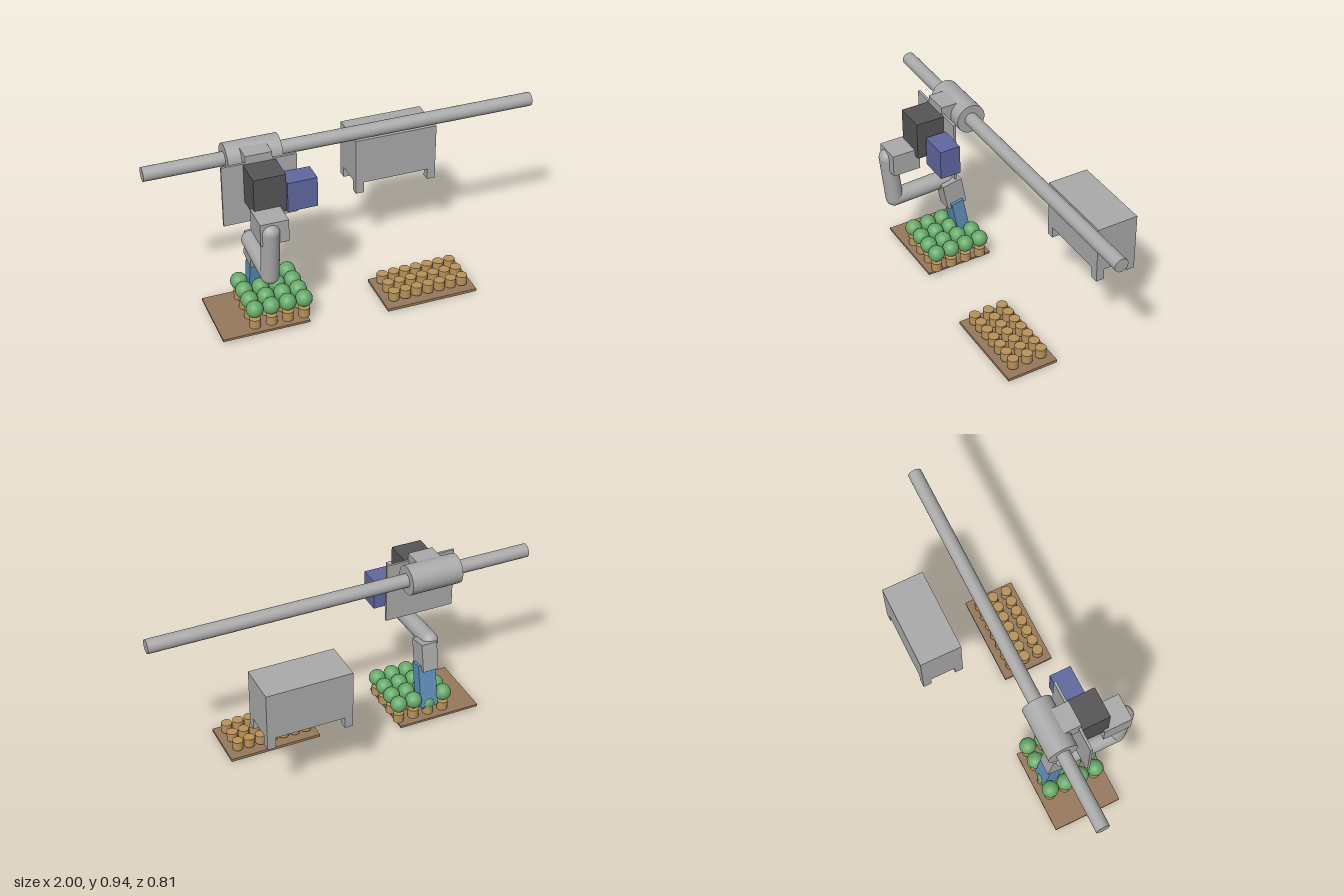
import * as THREE from 'three';

export function createModel() {
  const model = new THREE.Group();
  const mat = (name, color) => {
    const m = new THREE.MeshStandardMaterial({ color });
    m.name = name;
    return m;
  };
  const metal = mat('grey metal', 0xaaaaaa);
  const dark = mat('dark grey', 0x555555);
  const indigo = mat('indigo', 0x6068a0);
  const blue = mat('blue', 0x5f90ba);
  const green = mat('leaf green', 0x66aa6a);
  const clay = mat('clay', 0xb8935a);
  const brown = mat('brown', 0x96795c);

  const add = (name, geometry, material, x, y, z, parent = model) => {
    const mesh = new THREE.Mesh(geometry, material);
    mesh.name = name;
    mesh.position.set(x, y, z);
    parent.add(mesh);
    return mesh;
  };
  // Box given by its limits along each axis
  const box = (name, material, [x0, x1], [y0, y1], [z0, z1], parent) =>
    add(name, new THREE.BoxGeometry(x1 - x0, y1 - y0, z1 - z0), material,
      (x0 + x1) / 2, (y0 + y1) / 2, (z0 + z1) / 2, parent);
  const group = (name) => {
    const g = new THREE.Group();
    g.name = name;
    model.add(g);
    return g;
  };

  // Overhead rail and sliding carriage
  add('rail', new THREE.CylinderGeometry(0.035, 0.035, 2, 32), metal, 0, 0.864, -0.021).rotation.z = Math.PI / 2;
  add('carriage', new THREE.CylinderGeometry(0.076, 0.076, 0.272, 40), metal, -0.469, 0.864, -0.021).rotation.z = Math.PI / 2;
  box('carriageBracket', metal, [-0.537, -0.404], [0.845, 0.93], [-0.01, 0.105]);
  box('backPlate', metal, [-0.655, -0.283], [0.57, 0.893], [0.092, 0.105]);
  box('controlBox', dark, [-0.548, -0.388], [0.687, 0.887], [0.105, 0.253]);
  box('sensorBox', indigo, [-0.37, -0.22], [0.653, 0.81], [0.106, 0.215]);

  // Bent arm: capsules between the joints
  const arm = group('arm');
  box('shoulder', metal, [-0.56, -0.42], [0.604, 0.72], [0.227, 0.375], arm);
  const up = new THREE.Vector3(0, 1, 0);
  const joints = [[0.665, 0.363], [0.408, 0.338], [0.42, 0.043]]
    .map(([y, z]) => new THREE.Vector3(-0.508, y, z));
  ['upperArm', 'forearm'].forEach((name, i) => {
    const a = joints[i], b = joints[i + 1];
    const mid = a.clone().add(b).multiplyScalar(0.5);
    const limb = add(name, new THREE.CapsuleGeometry(0.045, a.distanceTo(b), 10, 28), metal, mid.x, mid.y, mid.z, arm);
    limb.quaternion.setFromUnitVectors(up, b.clone().sub(a).normalize());
  });

  // Tilted wrist and picking tool
  add('wrist', new THREE.BoxGeometry(0.085, 0.153, 0.109), metal, -0.478, 0.355, 0.0255, arm).rotation.x = 0.18;
  add('tool', new THREE.BoxGeometry(0.096, 0.242, 0.068), blue, -0.468, 0.189, -0.004, arm).rotation.x = 0.19;

  // Standing cabinet with four short legs
  const cabinet = group('cabinet');
  box('cabinetBody', metal, [0.133, 0.572], [0.455, 0.705], [-0.407, -0.19], cabinet);
  for (const x of [0.133, 0.529]) {
    for (const z of [-0.407, -0.233]) {
      box('cabinetLeg', metal, [x, x + 0.043], [0.396, 0.455], [z, z + 0.043], cabinet);
    }
  }

  // Trays with rows of pots
  const potGeometry = new THREE.CylinderGeometry(0.028, 0.028, 0.049, 24);
  const plantGeometry = new THREE.SphereGeometry(0.0435, 24, 16);

  const plantTray = group('plantTray');
  box('tray', brown, [-0.733, -0.286], [0.017, 0.029], [-0.096, 0.267], plantTray);
  for (let i = 0; i < 4; i++) {
    for (let j = 0; j < 4; j++) {
      const x = -0.553 + i * 0.0847, z = -0.04 + j * 0.0847;
      add('pot', potGeometry, clay, x, 0.053, z, plantTray);
      // The plant under the tool is held lower, at its tip
      const held = i === 1 && j === 0;
      add(held ? 'heldPlant' : 'plant', plantGeometry, green, x, held ? 0.085 : 0.13, held ? -0.024 : z, plantTray);
    }
  }

  const seedTray = group('seedTray');
  box('tray', brown, [0.112, 0.596], [0, 0.015], [0.035, 0.308], seedTray);
  for (let i = 0; i < 7; i++) {
    for (let j = 0; j < 3; j++) {
      add('pot', potGeometry, clay, 0.166 + i * 0.062, 0.054, 0.094 + j * 0.078, seedTray);
    }
  }

  return model;
}
